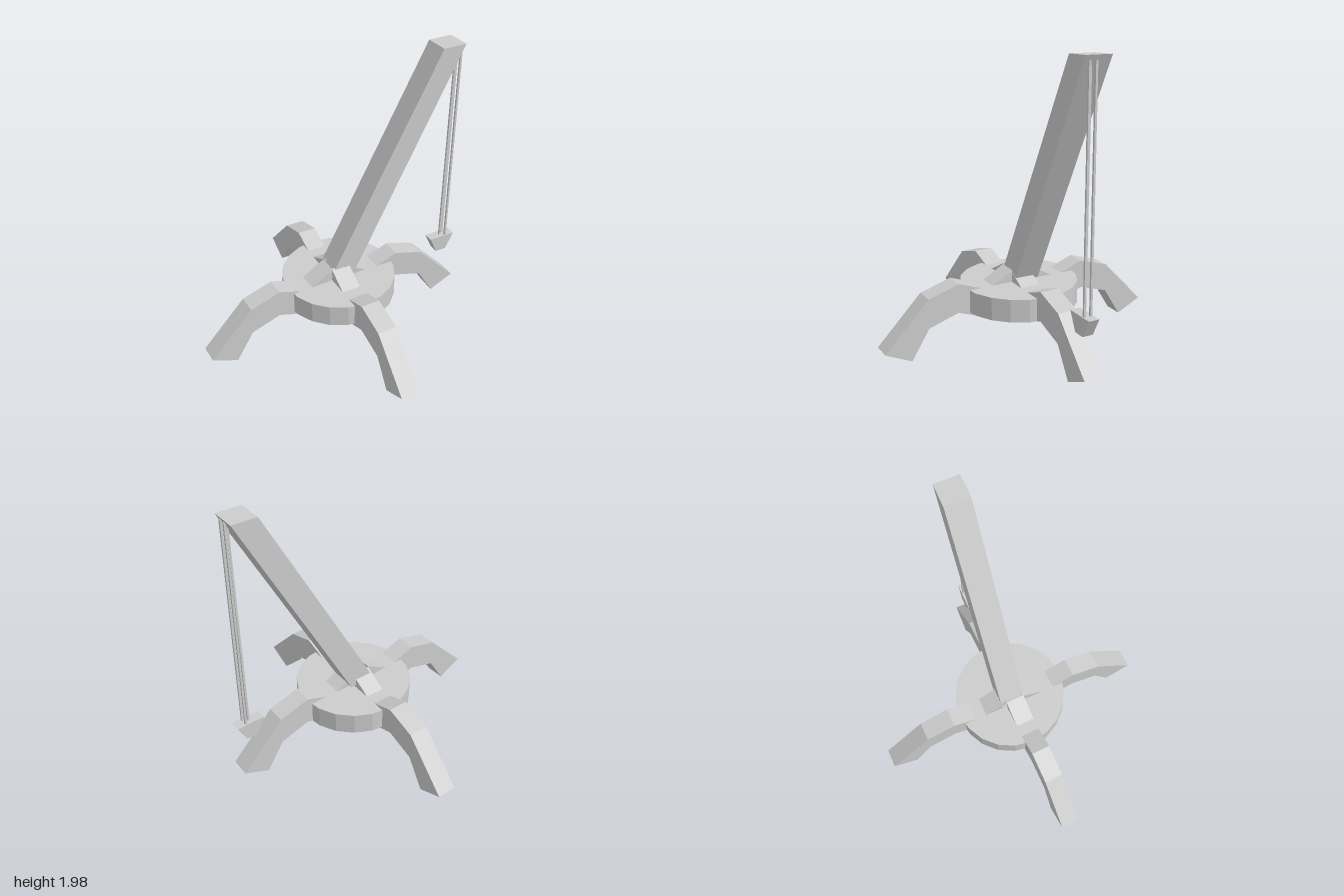
import * as THREE from 'three';

const material = new THREE.MeshStandardMaterial({ color: 0xcccccc, flatShading: true });

function add(parent, geometry, name) {
  const mesh = new THREE.Mesh(geometry, material);
  mesh.name = name;
  parent.add(mesh);
  return mesh;
}

// Flat outline in x/y, given thickness from z0 to z1
function slab(points, z0, z1) {
  const shape = new THREE.Shape(points.map(([x, y]) => new THREE.Vector2(x, y)));
  return new THREE.ExtrudeGeometry(shape, { depth: z1 - z0, bevelEnabled: false }).translate(0, 0, z0);
}

// Thin square rod between two points
function rod(a, b, size) {
  const start = new THREE.Vector3(...a), end = new THREE.Vector3(...b);
  const geometry = new THREE.BoxGeometry(size, start.distanceTo(end), size);
  const direction = end.clone().sub(start).normalize();
  geometry.applyQuaternion(new THREE.Quaternion().setFromUnitVectors(new THREE.Vector3(0, 1, 0), direction));
  const mid = start.add(end).multiplyScalar(0.5);
  return geometry.translate(mid.x, mid.y, mid.z);
}

export function createModel() {
  const model = new THREE.Group();
  model.name = 'crane';

  // Round platform
  add(model, new THREE.CylinderGeometry(0.403, 0.403, 0.155, 20), 'platform').position.set(0.035, 0.328, 0);

  // Four bent legs, each reaching from the hub out to the ground
  const legProfile = [
    [0.05, 0.28], [0.25, 0.185], [0.47, 0.265], [0.68, 0.2], [0.805, 0],
    [0.985, 0.085], [0.68, 0.4], [0.465, 0.465], [0.25, 0.387], [0.05, 0.497],
  ];
  const legs = [
    ['leftLeg', 0, 0, 0.01],
    ['backLeg', Math.PI / 2, 0.018, -0.01],
    ['rightLeg', Math.PI + 0.039, 0, 0.004],
    ['frontLeg', -Math.PI / 2 + 0.021, 0.014, 0.01],
  ];
  for (const [name, angle, x, z] of legs) {
    const leg = add(model, slab(legProfile, -0.0675, 0.0675), name);
    leg.rotation.y = angle;
    leg.position.set(x, 0, z);
  }

  // Leaning boom with level ends
  add(model, slab([[-0.065, 0.425], [0.125, 0.425], [0.92, 1.978], [0.75, 1.975]], -0.1, 0.075), 'boom');

  // Hoist ropes
  const ropes = new THREE.Group();
  ropes.name = 'ropes';
  model.add(ropes);
  add(ropes, rod([0.882, 0.45, 0.02], [0.882, 1.94, 0.02], 0.014), 'innerRope');
  add(ropes, rod([0.914, 0.45, 0.042], [0.907, 1.95, 0.042], 0.014), 'frontRope');
  add(ropes, rod([0.914, 0.45, -0.003], [0.907, 1.95, -0.003], 0.014), 'backRope');

  // Tapered bucket
  add(model, slab([[0.84, 0.338], [0.92, 0.338], [0.983, 0.46], [0.782, 0.46]], -0.018, 0.055), 'bucket');

  return model;
}
